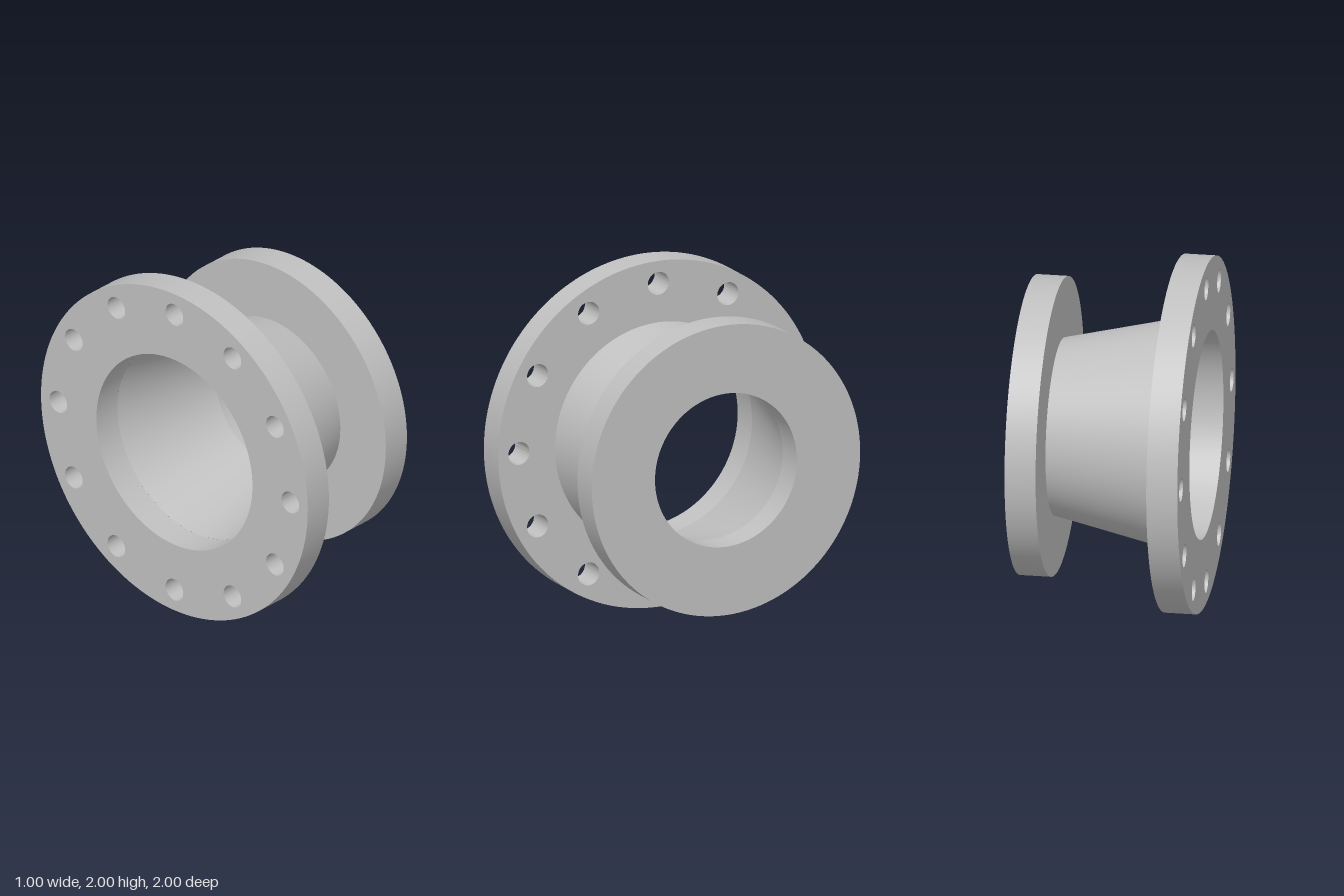
import * as THREE from 'three';
import { toCreasedNormals } from 'three/addons/utils/BufferGeometryUtils.js';

const HALF = 0.5, THICK = 0.175;
const BIG = { radius: 1, bore: 0.585, neck: 0.645 };
const SMALL = { radius: 0.838, bore: 0.443, neck: 0.497 };
const BOLTS = 12, BOLT_CIRCLE = 0.87, BOLT_RADIUS = 0.066;

function circle(Type, x, y, r) {
  const path = new Type();
  path.absarc(x, y, r, 0, Math.PI * 2, false);
  return path;
}

// Disc with a bore and optional bolt holes, its axis along x
function flangeGeometry({ radius, bore }, x, bolts) {
  const shape = circle(THREE.Shape, 0, 0, radius);
  shape.holes.push(circle(THREE.Path, 0, 0, bore));
  for (let i = 0; i < bolts; i++) {
    const a = (i / bolts) * Math.PI * 2;
    shape.holes.push(circle(THREE.Path, BOLT_CIRCLE * Math.cos(a), BOLT_CIRCLE * Math.sin(a), BOLT_RADIUS));
  }
  const geo = new THREE.ExtrudeGeometry(shape, { depth: THICK, bevelEnabled: false, curveSegments: 72 });
  geo.rotateY(Math.PI / 2).translate(x, 0, 0);
  return toCreasedNormals(geo, Math.PI / 6);
}

// Cone surface between two [radius, x] points; reversed order faces inwards
function coneGeometry(a, b) {
  const points = [a, b].map(([r, x]) => new THREE.Vector2(r, x));
  return new THREE.LatheGeometry(points, 96).rotateZ(-Math.PI / 2);
}

export function createModel() {
  const model = new THREE.Group();
  model.name = 'flangedReducer';
  const steel = new THREE.MeshStandardMaterial({ color: 0xbfbfbf });
  steel.name = 'grey steel';

  const add = (name, geometry) => {
    const mesh = new THREE.Mesh(geometry, steel);
    mesh.name = name;
    mesh.position.y = BIG.radius;
    model.add(mesh);
  };

  // Flanges at both ends; only the large one is drilled
  add('largeFlange', flangeGeometry(BIG, -HALF, BOLTS));
  add('smallFlange', flangeGeometry(SMALL, HALF - THICK, 0));

  // Tapered pipe between the flanges, outside and inside
  const end = HALF - THICK;
  add('neckOutside', coneGeometry([BIG.neck, -end], [SMALL.neck, end]));
  add('neckInside', coneGeometry([SMALL.bore, end], [BIG.bore, -end]));

  return model;
}
